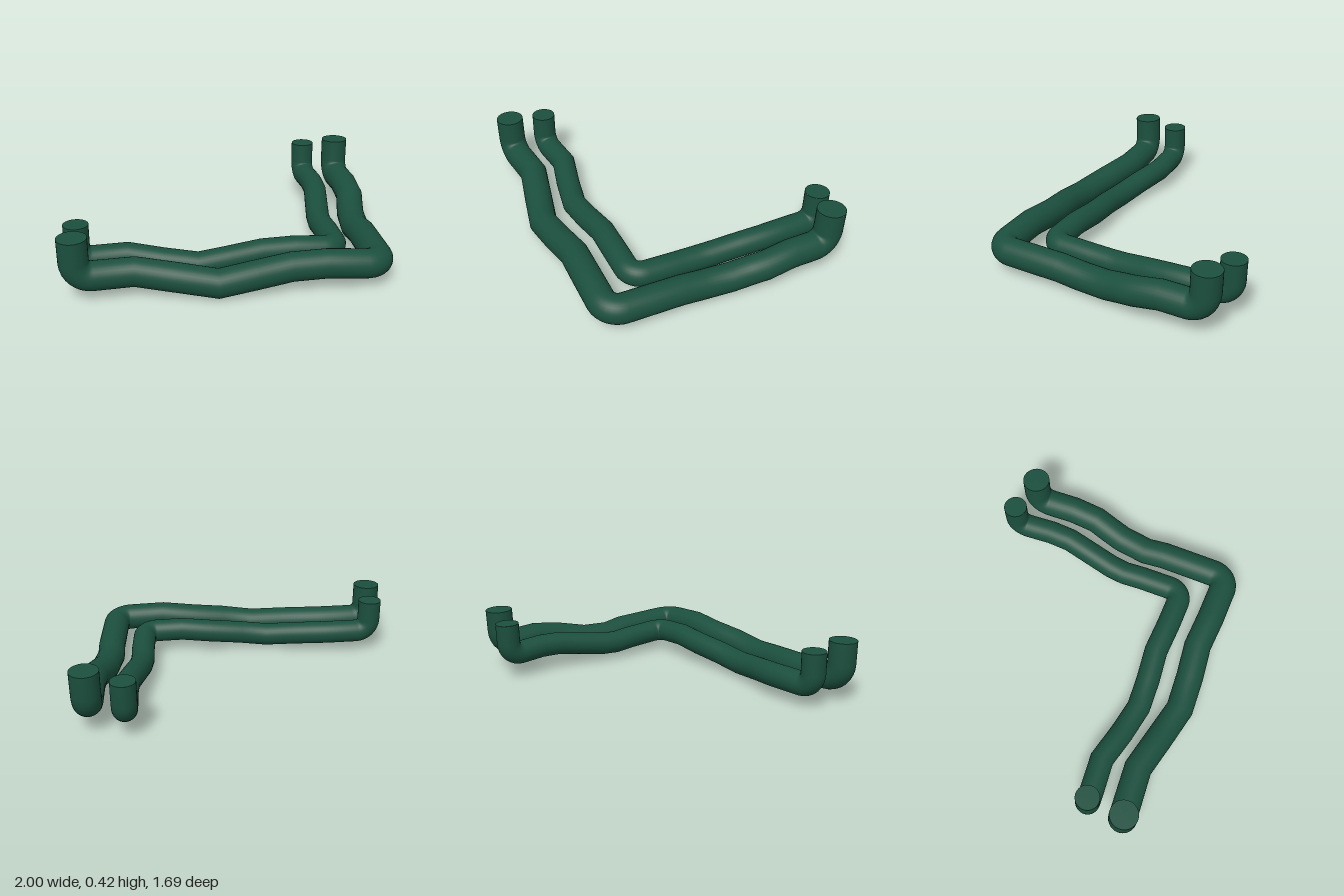
import * as THREE from 'three';

const V = (p) => new THREE.Vector3(...p);

// Polyline path that keeps every listed point as one tube ring
class RingPath extends THREE.Curve {
  constructor(points) {
    super();
    this.points = points;
  }
  index(u) {
    return Math.round(u * (this.points.length - 1));
  }
  getPointAt(u, target = new THREE.Vector3()) {
    return target.copy(this.points[this.index(u)]);
  }
  getTangentAt(u, target = new THREE.Vector3()) {
    const i = this.index(u), p = this.points, last = p.length - 1;
    target.set(0, 0, 0);
    if (i > 0) target.add(p[i].clone().sub(p[i - 1]).normalize());
    if (i < last) target.add(p[i + 1].clone().sub(p[i]).normalize());
    return target.normalize();
  }
}

// Replace the sharp turns with small rounded elbows
function roundElbows(raw, trim) {
  const pts = raw.map(V), out = [pts[0]];
  for (let i = 1; i < pts.length - 1; i++) {
    const a = pts[i - 1].clone().sub(pts[i]).normalize();
    const b = pts[i + 1].clone().sub(pts[i]).normalize();
    if (a.dot(b) < -0.7) {
      out.push(pts[i]);
      continue;
    }
    const start = pts[i].clone().addScaledVector(a, trim);
    const end = pts[i].clone().addScaledVector(b, trim);
    // circular arc tangent to both legs
    const mid = a.clone().add(b).normalize();
    const half = Math.acos(a.dot(b)) / 2;
    const centre = pts[i].clone().addScaledVector(mid, trim / Math.cos(half));
    const r0 = start.clone().sub(centre), r1 = end.clone().sub(centre);
    const sweep = r0.angleTo(r1), steps = 8;
    for (let k = 0; k <= steps; k++) {
      const t = k / steps;
      out.push(centre.clone()
        .addScaledVector(r0, Math.sin((1 - t) * sweep) / Math.sin(sweep))
        .addScaledVector(r1, Math.sin(t * sweep) / Math.sin(sweep)));
    }
  }
  out.push(pts[pts.length - 1]);
  return out;
}

function makePipe(name, raw, radius, material) {
  const pipe = new THREE.Group();
  pipe.name = name;
  const points = roundElbows(raw, radius * 1.15);
  const path = new RingPath(points);
  const tube = new THREE.Mesh(new THREE.TubeGeometry(path, points.length - 1, radius, 32), material);
  tube.name = name + 'Tube';
  pipe.add(tube);

  // flat end caps
  for (const u of [0, 1]) {
    const cap = new THREE.Mesh(new THREE.CircleGeometry(radius, 32), material);
    cap.name = name + 'EndCap';
    cap.position.copy(path.getPointAt(u));
    const outward = path.getTangentAt(u).multiplyScalar(u ? 1 : -1);
    cap.quaternion.setFromUnitVectors(new THREE.Vector3(0, 0, 1), outward);
    pipe.add(cap);
  }
  return pipe;
}

export function createModel() {
  const model = new THREE.Group();
  model.name = 'pipePair';
  const green = new THREE.MeshStandardMaterial({ color: 0x1b4f3e });

  // wide pipe on the outside of the corner
  model.add(makePipe('outerPipe', [
    [-0.912, 0.4, 0.705], [-0.91, 0.15, 0.703], [-0.57, 0.15, 0.665],
    [-0.33, 0.125, 0.712], [-0.09, 0.097, 0.757], [0.13, 0.13, 0.735],
    [0.34, 0.155, 0.702], [0.55, 0.17, 0.708], [0.88, 0.15, 0.702],
    [0.867, 0.136, 0.25], [0.857, 0.115, 0.12], [0.873, 0.12, -0.07],
    [0.895, 0.148, -0.2], [0.911, 0.165, -0.28], [0.905, 0.19, -0.45],
    [0.887, 0.177, -0.712], [0.888, 0.425, -0.722],
  ], 0.088, green));

  // narrow pipe on the inside of the corner
  model.add(makePipe('innerPipe', [
    [-0.905, 0.372, 0.467], [-0.905, 0.145, 0.47], [-0.61, 0.145, 0.436],
    [-0.4, 0.12, 0.48], [-0.19, 0.098, 0.511], [0, 0.122, 0.495],
    [0.2, 0.145, 0.466], [0.4, 0.158, 0.47], [0.66, 0.145, 0.463],
    [0.65, 0.13, 0.18], [0.64, 0.12, 0.05], [0.645, 0.125, -0.05],
    [0.67, 0.155, -0.24], [0.689, 0.175, -0.38], [0.687, 0.18, -0.52],
    [0.665, 0.165, -0.765], [0.664, 0.386, -0.772],
  ], 0.076, green));

  return model;
}
